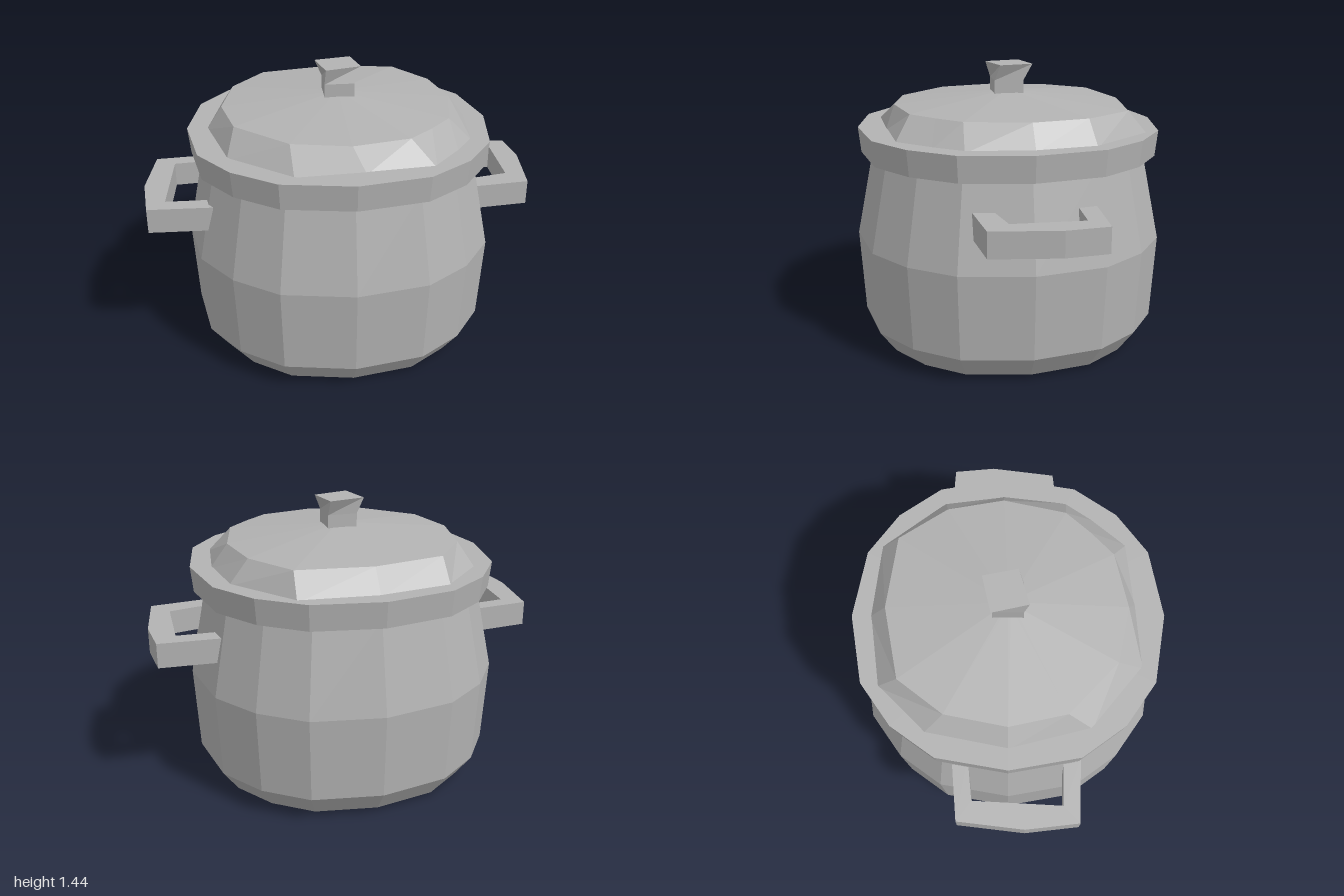
import * as THREE from 'three';

// Joins stacked rings of [x, y, z] points with flat faces and closes both ends
function loft(rings) {
  const pos = [];
  const tri = (...pts) => pts.forEach((p) => pos.push(...p));
  const n = rings[0].length;
  const centre = (ring) => [0, 1, 2].map((k) => ring.reduce((s, p) => s + p[k], 0) / n);
  const first = rings[0], last = rings[rings.length - 1];
  const low = centre(first), high = centre(last);
  for (let i = 0; i < n; i++) {
    const j = (i + 1) % n;
    for (let r = 0; r + 1 < rings.length; r++) {
      const a = rings[r], b = rings[r + 1];
      tri(a[i], a[j], b[j]);
      tri(a[i], b[j], b[i]);
    }
    tri(low, first[j], first[i]);
    tri(high, last[i], last[j]);
  }
  const geo = new THREE.BufferGeometry();
  geo.setAttribute('position', new THREE.Float32BufferAttribute(pos, 3));
  geo.computeVertexNormals();
  return geo;
}

// Sixteen-sided ring with the slightly uneven corner spacing of the pot
const ANGLES = [0, 26, 45, 64].flatMap((a) => [0, 90, 180, 270].map((q) => a + q)).sort((a, b) => a - b);
const potRing = (radius, y) => ANGLES.map((deg) => {
  const a = THREE.MathUtils.degToRad(deg);
  const r = radius * (deg % 90 === 0 ? 1 : 1.025);
  return [r * Math.sin(a), y, r * Math.cos(a)];
});
const level = (points, y) => points.map(([x, z]) => [x, y, z]);

export function createModel() {
  const model = new THREE.Group();
  model.name = 'cookingPot';
  const metal = new THREE.MeshStandardMaterial({ color: 0xb2b2b2 });
  metal.name = 'grey metal';
  const add = (name, geo) => {
    const mesh = new THREE.Mesh(geo, metal);
    mesh.name = name;
    model.add(mesh);
  };

  // Bulging body
  add('potBody', loft([
    potRing(0.48, 0), potRing(0.68, 0.02), potRing(0.765, 0.14),
    potRing(0.788, 0.57), potRing(0.695, 1.02),
  ]));

  // Overhanging lid rim
  add('lidRim', loft([potRing(0.755, 1.0), potRing(0.768, 1.13)]));

  // Uneven lid dome rising to a shallow point
  const domeFoot = [[0.06, 0.63], [0.39, 0.6], [0.53, 0.44], [0.63, 0.3], [0.67, -0.02], [0.63, -0.32],
    [0.38, -0.64], [0, -0.68], [-0.36, -0.63], [-0.59, -0.4], [-0.67, 0], [-0.57, 0.4], [-0.27, 0.65]];
  const domeEdge = [[0, 0.58], [0.28, 0.52], [0.4, 0.41], [0.51, 0.29], [0.58, -0.02], [0.53, -0.3],
    [0.37, -0.54], [0, -0.59], [-0.36, -0.52], [-0.53, -0.3], [-0.59, 0], [-0.53, 0.28], [-0.28, 0.52]];
  const peak = domeEdge.map(([x, z]) => [x * 0.05, z * 0.05]);
  add('lidDome', loft([level(domeFoot, 1.12), level(domeEdge, 1.24), level(peak, 1.3)]));

  // Square knob, flared and twisted at the top
  const neck = [[-0.075, 0.075], [0.075, 0.075], [0.075, -0.075], [-0.075, -0.075]];
  const crown = [[-0.07, 0.1], [0.11, 0.05], [0.075, -0.12], [-0.11, -0.08]];
  add('lidKnob', loft([level(neck, 1.27), level(neck, 1.36), level(crown, 1.44)]));

  // Squared loop handles, outlined in plan
  const handle = (name, outline) => {
    const shape = new THREE.Shape(outline.map(([x, z]) => new THREE.Vector2(x, z)));
    const geo = new THREE.ExtrudeGeometry(shape, { depth: 0.125, bevelEnabled: false });
    geo.rotateX(Math.PI / 2);
    geo.translate(0, 0.857, 0);
    add(name, geo);
  };
  handle('leftHandle', [[0.65, -0.31], [0.98, -0.29], [1, -0.08], [0.955, 0.25], [0.65, 0.28],
    [0.65, 0.185], [0.87, 0.14], [0.88, -0.21], [0.65, -0.22]]);
  handle('rightHandle', [[-0.65, -0.28], [-0.96, -0.255], [-1, 0.08], [-0.97, 0.35], [-0.65, 0.36],
    [-0.65, 0.275], [-0.885, 0.27], [-0.86, -0.18], [-0.65, -0.2]]);

  return model;
}
